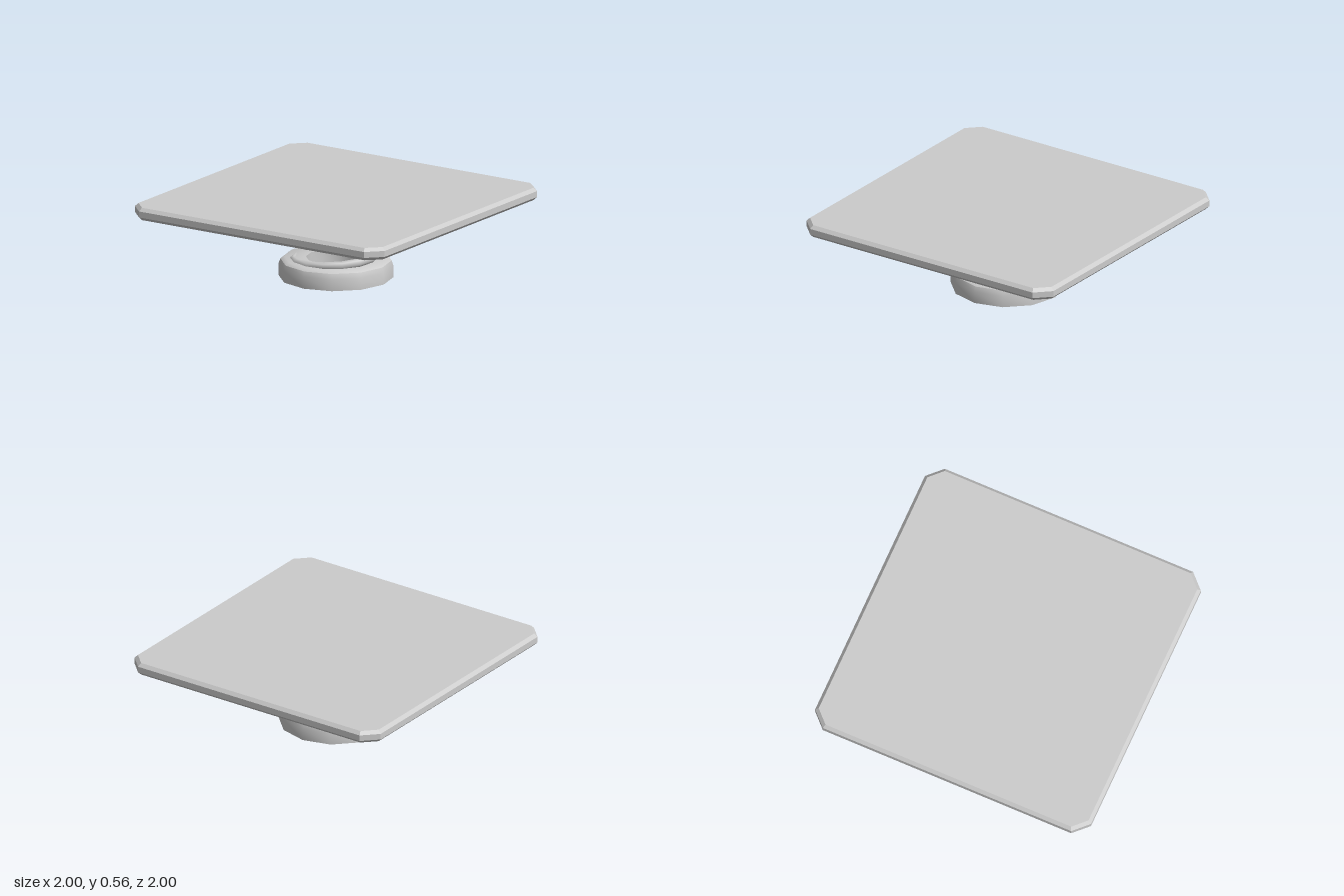
import * as THREE from 'three';
import { toCreasedNormals } from 'three/addons/utils/BufferGeometryUtils.js';

const SIDES = 12;

function addMesh(group, name, geometry, options = {}) {
  const material = new THREE.MeshStandardMaterial({ color: 0xcccccc, ...options });
  const mesh = new THREE.Mesh(geometry, material);
  mesh.name = name;
  group.add(mesh);
  return mesh;
}

// Square plate with cut corners and a small bevel on both faces
function plateGeometry() {
  const cut = 0.1, bevel = 0.022, height = 0.085;
  const c = 1 - cut;
  const shape = new THREE.Shape([
    [1, -c], [1, c], [c, 1], [-c, 1], [-1, c], [-1, -c], [-c, -1], [c, -1],
  ].map(([x, y]) => new THREE.Vector2(x, y)));
  const geometry = new THREE.ExtrudeGeometry(shape, {
    depth: height - 2 * bevel,
    bevelEnabled: true,
    bevelSegments: 1,
    bevelSize: bevel,
    bevelThickness: bevel,
    bevelOffset: -bevel,
  });
  return geometry.rotateX(-Math.PI / 2).translate(0, 0.47 + bevel, 0);
}

// Ring-shaped cup, open underneath, with a rounded rim and an inner sleeve
function cupGeometry() {
  const profile = [
    [0.382, 0], [0.382, 0.08], [0.37, 0.115], [0.345, 0.132], [0.2, 0.132], [0.2, 0],
  ].map(([r, y]) => new THREE.Vector2(r, y));
  return toCreasedNormals(new THREE.LatheGeometry(profile, SIDES), 0.62);
}

// Helix rising from +x towards -z
class Helix extends THREE.Curve {
  getPoint(t, target = new THREE.Vector3()) {
    const turns = -0.6 + 2.4 * t;
    const a = turns * Math.PI * 2;
    return target.set(0.285 * Math.cos(a), 0.167 + 0.135 * turns, -0.285 * Math.sin(a));
  }
}

export function createModel() {
  const model = new THREE.Group();
  model.name = 'springPlatform';

  addMesh(model, 'plate', plateGeometry(), { flatShading: true });

  // Matching cups hold the two ends of the spring
  const cup = cupGeometry();
  addMesh(model, 'baseCup', cup, { side: THREE.DoubleSide });
  const upper = addMesh(model, 'upperCup', cup, { side: THREE.DoubleSide });
  upper.rotation.x = Math.PI;
  upper.position.y = 0.49;

  addMesh(model, 'spring', new THREE.TubeGeometry(new Helix(), 36, 0.029, 6), { side: THREE.DoubleSide });

  return model;
}
